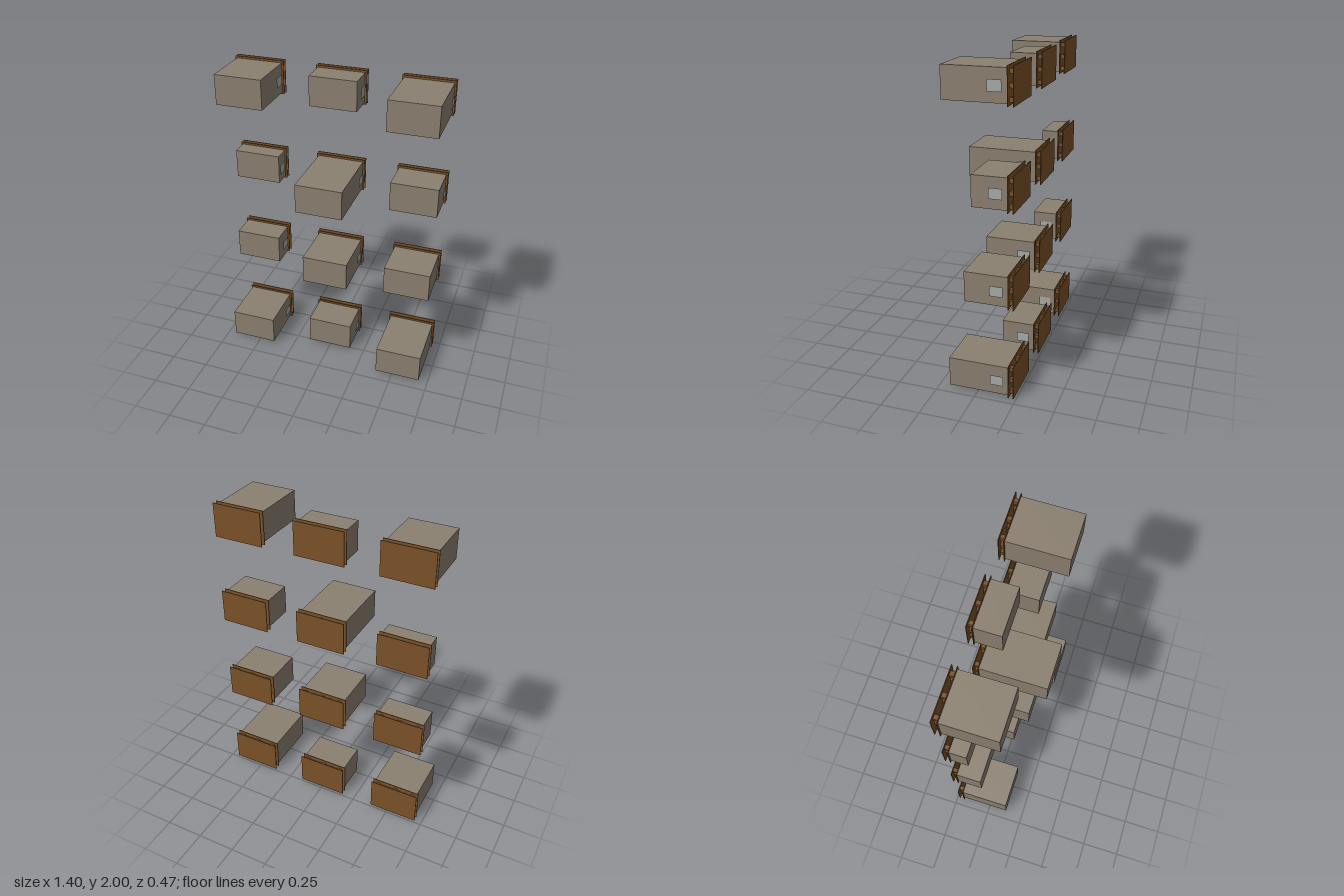
import * as THREE from 'three';

const cardboard = new THREE.MeshStandardMaterial({ color: 0x8b8070 });
const wood = new THREE.MeshStandardMaterial({ color: 0x7a5229 });
const paper = new THREE.MeshStandardMaterial({ color: 0xa6aca8, side: THREE.DoubleSide });

const W = 0.324, H = 0.216;             // pallet panel size
const FRONT = -0.2, BACK = -0.2325;     // panel centres in z
const THICK = 0.005;

function box(parent, name, material, size, position) {
  const mesh = new THREE.Mesh(new THREE.BoxGeometry(...size), material);
  mesh.name = name;
  mesh.position.set(...position);
  parent.add(mesh);
}

// Two panels held apart by a 3 x 3 grid of blocks
function createPallet() {
  const pallet = new THREE.Group();
  pallet.name = 'pallet';
  box(pallet, 'frontPanel', wood, [W, H, THICK], [0, H / 2, FRONT]);
  box(pallet, 'backPanel', wood, [W, H, THICK], [0, H / 2, BACK]);
  const gap = FRONT - BACK - THICK;
  for (const i of [-1, 0, 1]) {
    for (const j of [-1, 0, 1]) {
      box(pallet, 'spacerBlock', wood, [0.027, 0.027, gap],
        [i * 0.1215, H / 2 + j * 0.0755, (FRONT + BACK) / 2]);
    }
  }
  return pallet;
}

// Pallet, load of the given depth and a side label
function createUnit(depth) {
  const unit = new THREE.Group();
  unit.name = 'palletUnit';
  unit.add(createPallet());
  const start = FRONT + THICK / 2;
  box(unit, 'load', cardboard, [0.302, 0.19, depth], [0, H / 2, start + depth / 2]);
  const label = new THREE.Mesh(new THREE.PlaneGeometry(0.081, 0.065), paper);
  label.name = 'label';
  label.rotation.y = Math.PI / 2;
  label.position.set(0.162, H / 2, -0.127);
  unit.add(label);
  return unit;
}

export function createModel() {
  const model = new THREE.Group();
  model.name = 'palletRack';
  // Load depth in steps, rows from bottom to top, columns along +x
  const steps = [
    [6, 4, 7],
    [3, 6, 5],
    [2, 8, 4],
    [6, 3, 7],
  ];
  steps.forEach((row, r) => row.forEach((n, c) => {
    const unit = createUnit(n * 0.0541);
    unit.position.set((c - 1) * 0.5405, r * (2 - H) / 3, 0);
    model.add(unit);
  }));
  return model;
}
